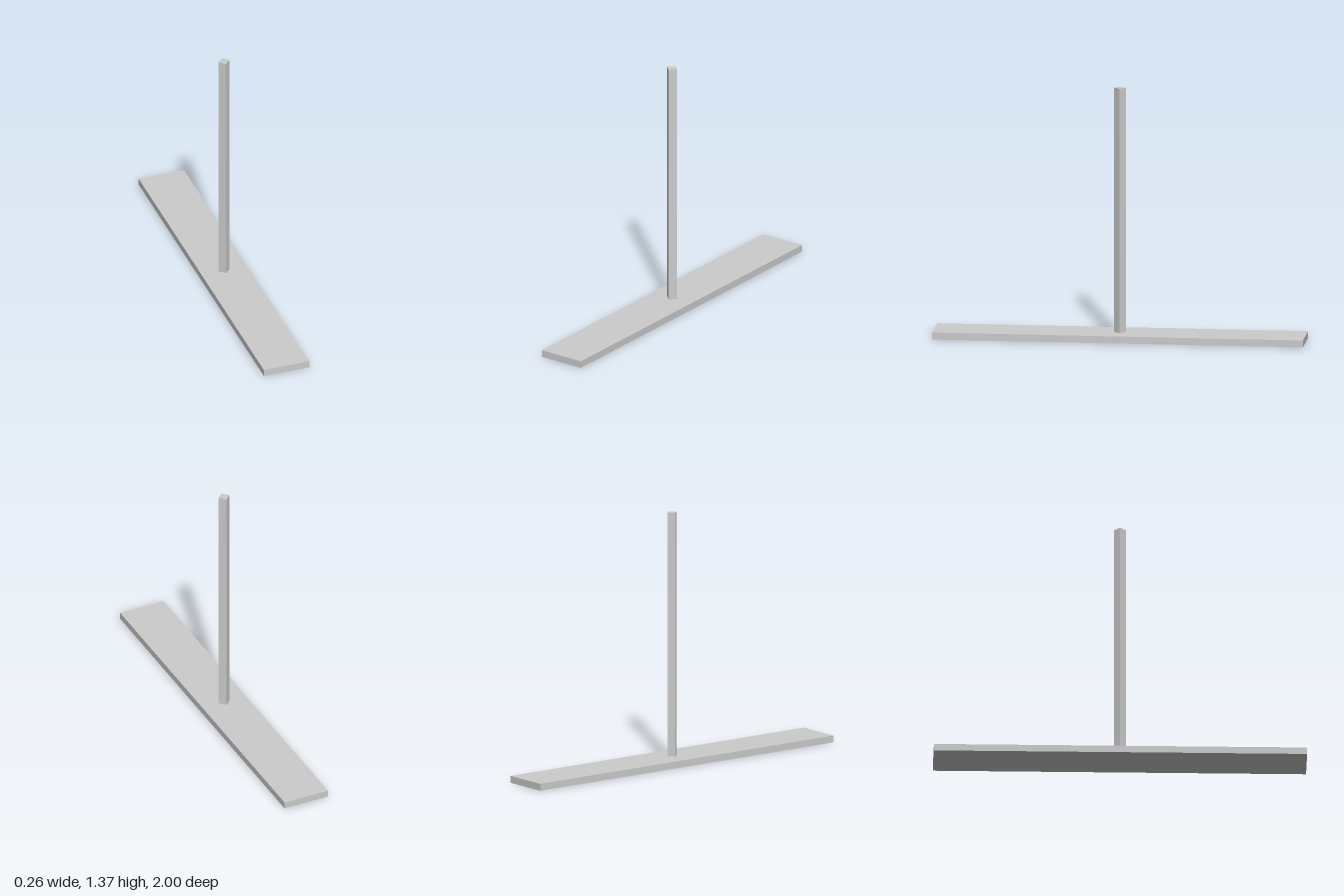
import * as THREE from 'three';

const BASE = { width: 0.258, height: 0.038, length: 2 };
const POST = { radius: 0.032, top: 1.372 };

export function createModel() {
  const model = new THREE.Group();
  const material = new THREE.MeshStandardMaterial({ color: 0xcccccc, flatShading: true });

  const addPart = (name, geometry, y) => {
    const mesh = new THREE.Mesh(geometry, material);
    mesh.name = name;
    mesh.position.y = y;
    model.add(mesh);
  };

  // Long flat base plank
  addPart('base', new THREE.BoxGeometry(BASE.width, BASE.height, BASE.length), BASE.height / 2);

  // Four-sided upright post, corners facing the axes
  const postHeight = POST.top - BASE.height;
  addPart('post', new THREE.CylinderGeometry(POST.radius, POST.radius, postHeight, 4),
    BASE.height + postHeight / 2);

  return model;
}
